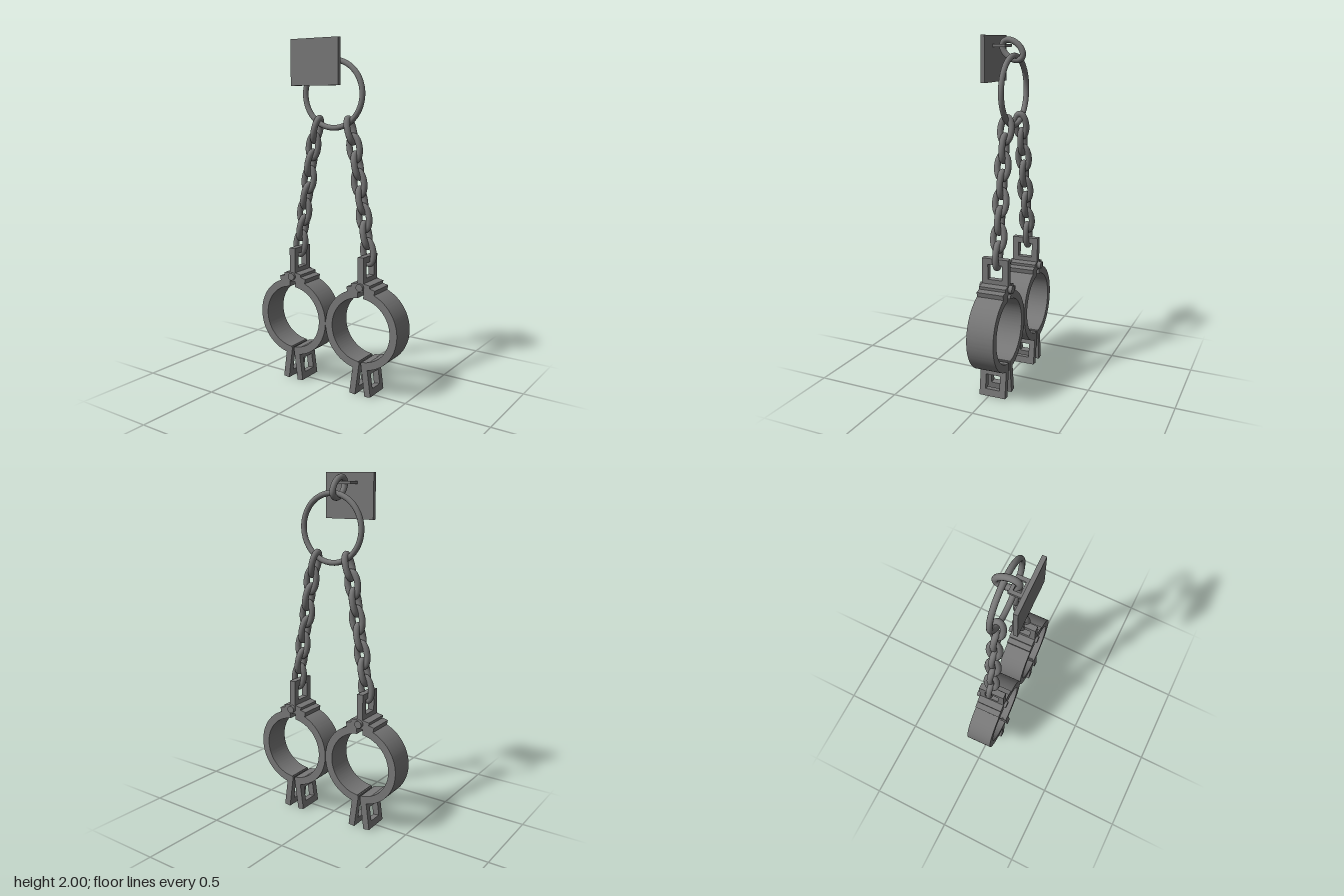
import * as THREE from 'three';
import { toCreasedNormals } from 'three/addons/utils/BufferGeometryUtils.js';

const iron = new THREE.MeshStandardMaterial({ color: 0x777777 });
const DEPTH = 0.157; // width of the cuffs along z

function part(name, geometry, parent, x = 0, y = 0, z = 0) {
  const mesh = new THREE.Mesh(geometry, iron);
  mesh.name = name;
  mesh.position.set(x, y, z);
  parent.add(mesh);
  return mesh;
}

function group(name, parent, x = 0, y = 0, z = 0) {
  const g = new THREE.Group();
  g.name = name;
  g.position.set(x, y, z);
  parent.add(g);
  return g;
}

// Extrudes a shape along z, centred on z = 0
function slab(shape, depth) {
  const geo = new THREE.ExtrudeGeometry(shape, { depth, bevelEnabled: false, curveSegments: 40 });
  geo.translate(0, 0, -depth / 2);
  return toCreasedNormals(geo, 0.5);
}

// Oval chain link in the xy plane, long axis along y
function linkGeometry(halfWidth, halfLength, tube) {
  const points = [];
  for (let i = 0; i < 16; i++) {
    const a = (i / 16) * Math.PI * 2;
    points.push(new THREE.Vector3(halfWidth * Math.cos(a), halfLength * Math.sin(a), 0));
  }
  return new THREE.TubeGeometry(new THREE.CatmullRomCurve3(points, true), 48, tube, 12, true);
}

// Upright plate in the yz plane with a square hole
function eyePlate(thickness, height, holeY) {
  const w = DEPTH / 2, h = height / 2, s = 0.043;
  const shape = new THREE.Shape([[-w, -h], [w, -h], [w, h], [-w, h]].map(p => new THREE.Vector2(...p)));
  shape.holes.push(new THREE.Path(
    [[-s, -s], [-s, s], [s, s], [s, -s]].map(([x, y]) => new THREE.Vector2(x, y + holeY))));
  return slab(shape, thickness).rotateY(Math.PI / 2);
}

function buildCuff(parent, x) {
  const cuff = group('cuff', parent, x, 0.39, -0.015);

  // Half band open at the top and bottom
  const band = new THREE.Shape();
  const from = -Math.PI / 2 + 0.06, to = Math.PI / 2 - 0.095;
  band.absarc(0, 0, 0.232, from, to, false);
  band.absarc(0, 0, 0.187, to, from, true);
  band.closePath();

  // Stepped hinge leaf
  const leaf = new THREE.Shape([
    [0.019, 0.21], [0.084, 0.205], [0.092, 0.242], [0.058, 0.25], [0.06, 0.266], [0.019, 0.273],
  ].map(p => new THREE.Vector2(...p)));

  for (const turn of [0, Math.PI]) {
    const half = group('cuffHalf', cuff);
    half.rotation.y = turn;
    part('cuffBand', slab(band, DEPTH), half);
    part('hingeLeaf', slab(leaf, DEPTH), half);
    const hasp = part('hasp', eyePlate(0.038, 0.2, -0.016), half, 0.037, -0.288, 0);
    hasp.rotation.z = 0.135;
  }

  // Chain loop and hinge pin
  part('chainLoop', eyePlate(0.037, 0.2, 0.022), cuff, 0, 0.32, 0);
  const pin = new THREE.CylinderGeometry(0.022, 0.022, 0.195, 20).rotateX(Math.PI / 2);
  part('hingePin', pin, cuff, 0, 0.25, -0.003);
}

function buildChain(parent, side) {
  const chain = group('chain', parent, 0, 0, -0.024);
  const geometry = linkGeometry(0.032, 0.068, 0.018);
  const xs = [0.112, 0.138, 0.157, 0.169, 0.187, 0.203, 0.217, 0.232];
  xs.forEach((x, i) => {
    const link = part('chainLink', geometry, chain, side * x, 1.503 - i * 0.0968, 0);
    // Every other link is turned a quarter
    const lean = side * (i === 0 ? 0.25 : i % 2 ? 0.14 : 0.2);
    link.rotation.set(0, i % 2 ? 0 : Math.PI / 2, lean, 'ZYX');
  });
}

export function createModel() {
  const model = new THREE.Group();
  model.name = 'shackles';
  const body = group('body', model);
  body.rotation.y = 0.032;

  // Wall plate with its staple
  part('wallPlate', new THREE.BoxGeometry(0.31, 0.252, 0.023), body, -0.036, 1.874, 0.108);
  const staple = group('staple', body, -0.04, 1.945, 0);
  for (const z of [0.032, 0.087]) {
    part('stapleBar', new THREE.BoxGeometry(0.1, 0.016, 0.018), staple, 0, 0, z);
  }
  for (const s of [-1, 1]) {
    part('stapleLeg', new THREE.BoxGeometry(0.02, 0.016, 0.074), staple, s * 0.04, 0, 0.061);
  }

  // Tilted link joining the staple to the big ring
  const hanger = part('hangerLink', linkGeometry(0.043, 0.069, 0.017), body, -0.033, 1.921, -0.004);
  hanger.rotation.set(0.92, Math.PI / 2, 0);

  part('bigRing', new THREE.TorusGeometry(0.188, 0.016, 14, 64), body, -0.003, 1.703, -0.026);

  for (const side of [-1, 1]) {
    buildChain(body, side);
    buildCuff(body, side * 0.233);
  }
  return model;
}
